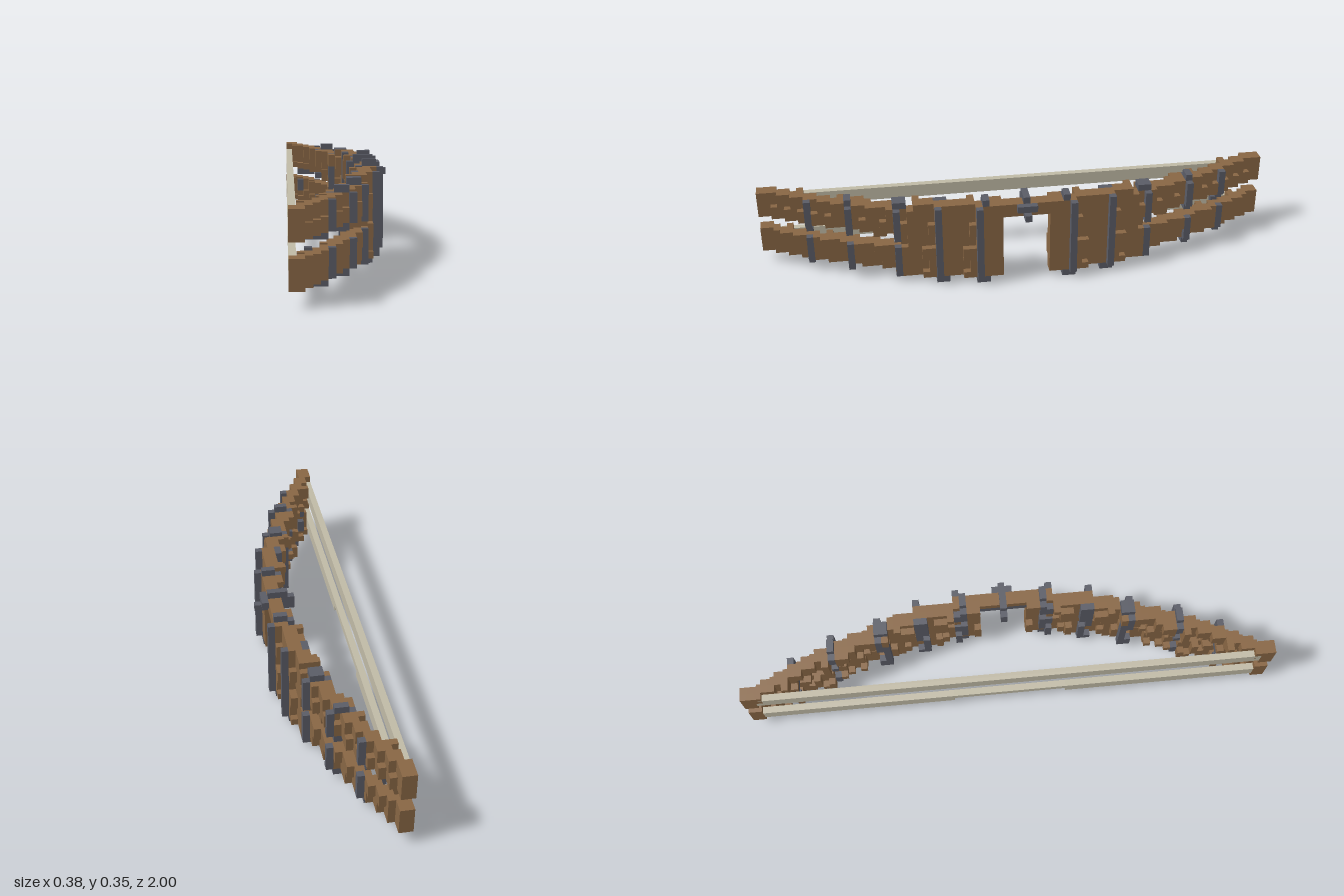
import * as THREE from 'three';

const U = 2 / 79; // block size

const mat = (name, color) => {
  const m = new THREE.MeshStandardMaterial({ color, flatShading: true });
  m.name = name;
  return m;
};

// small repeatable hash, 0..1
const hash = (a, b) => {
  const s = Math.sin(a * 12.9898 + b * 78.233) * 43758.5453;
  return s - Math.floor(s);
};

// outer edge of the bow (in blocks from the string side) at distance k from the middle
const edge = k => Math.max(2, Math.round((0.33 - 0.3 * (k * U) ** 2) / U));

// block map: key "i,j,k" -> part name
function fillBlocks() {
  const blocks = new Map();
  const put = (part, i, j, k) => {
    if (i < 0) return;
    blocks.set(`${i},${j},${k}`, part);
    blocks.set(`${i},${j},${-k}`, part);
  };

  // limbs: split in two near the tips, one tall plate near the grip
  const isLimb = (j, k) => {
    if (k <= 3) return j === 11 || j === 12;
    if (j === 1) return k <= 19;
    if (j === 12) return k <= 16;
    if (j === 6) return k <= 18;
    if (j === 7) return k <= 19 || k === 21 || k === 22;
    return j >= 2 && j <= 11;
  };
  for (let k = 0; k <= 39; k++) {
    for (let j = 1; j <= 12; j++) {
      if (!isLimb(j, k)) continue;
      const shift = k < 38 ? Math.floor(hash(j >> 1, 3) * 3) - 1 : 0;
      const n = edge(Math.abs(k + shift));
      for (let i = n - 2; i < n; i++) put('limbs', i, j, k);
      // rough ridges on the inner face
      if (k > 3 && k < 36 && hash(k, Math.floor(j / 3)) < 0.3) put('limbs', n - 3, j, k);
    }
  }

  // metal bands wrapped around the limbs
  const bands = [
    { ks: [32], rows: [1, 11] },
    { ks: [26], rows: [1, 12] },
    { ks: [18, 19], rows: [1, 12] },
    { ks: [12, 13], rows: [0, 12] },
    { ks: [6, 7], rows: [0, 13] },
  ];
  for (const { ks, rows } of bands) {
    const n = edge(ks[ks.length - 1]);
    ks.forEach((k, c) => {
      for (let j = rows[0]; j <= rows[1]; j++) {
        if (j === 13 && c > 0) continue;
        const cap = !isLimb(j, k);
        if (cap && j === 6) continue;
        if (cap) {
          for (let i = n - 2; i < n; i++) put('bands', i, j, k);
          if (j === 7) put('bands', n - 3, j, k);
        } else {
          if (c === ks.length - 1) put('bands', n, j, k);
          if (hash(j >> 1, k) < 0.6) put('bands', n - 3, j, k);
        }
      }
    });
  }

  // metal arrow rest over the grip opening
  for (let i = 10; i <= 12; i++) put('bands', i, 13, 0);
  for (let i = 9; i <= 13; i++) put('bands', i, 12, 0);
  for (let i = 9; i <= 14; i++) put('bands', i, 11, 0);
  put('bands', 13, 12, 1);
  for (let k = 1; k <= 3; k++) put('bands', 11, 11, k);
  return blocks;
}

// visible faces of all blocks belonging to one part
function blockGeometry(blocks, part) {
  const pos = [];
  const v = new THREE.Vector3();
  for (const [key, p] of blocks) {
    if (p !== part) continue;
    const c = key.split(',').map(Number);
    for (let axis = 0; axis < 3; axis++) {
      for (const s of [-1, 1]) {
        const nb = [...c];
        nb[axis] += s;
        if (blocks.has(nb.join(','))) continue;
        const a = (axis + 1) % 3, b = (axis + 2) % 3;
        const ring = [[-1, -1], [1, -1], [1, 1], [-1, 1]];
        if (s < 0) ring.reverse();
        for (const q of [0, 1, 2, 0, 2, 3]) {
          const o = [0, 0, 0];
          o[axis] = s / 2;
          o[a] = ring[q][0] / 2;
          o[b] = ring[q][1] / 2;
          v.set(c[0] - 7 + o[0], c[1] + 0.5 + o[1], c[2] + o[2]).multiplyScalar(U);
          pos.push(v.x, v.y, v.z);
        }
      }
    }
  }
  const g = new THREE.BufferGeometry();
  g.setAttribute('position', new THREE.Float32BufferAttribute(pos, 3));
  g.computeVertexNormals();
  return g;
}

export function createModel() {
  const model = new THREE.Group();
  model.name = 'crossbowBow';
  const wood = mat('wood', 0x886644);
  const metal = mat('metal', 0x5a5c66);
  const cord = mat('cord', 0xc0baa6);

  const blocks = fillBlocks();
  for (const [part, m] of [['limbs', wood], ['bands', metal]]) {
    const mesh = new THREE.Mesh(blockGeometry(blocks, part), m);
    mesh.name = part;
    model.add(mesh);
  }

  // strings: rows from j0 to j1, length along z in blocks
  const string = (name, j0, j1, k0, k1) => {
    const mesh = new THREE.Mesh(new THREE.BoxGeometry(U, (j1 - j0) * U, (k1 - k0) * U), cord);
    mesh.position.set(-7 * U, ((j0 + j1) / 2) * U, ((k0 + k1) / 2) * U);
    mesh.name = name;
    model.add(mesh);
  };
  string('upperString', 9, 11, -37.5, 37.5);
  string('lowerStringMiddle', 4, 5, -8.5, 8.5);
  string('lowerStringFront', 3, 5, 8.5, 37.5);
  string('lowerStringBack', 3, 5, -37.5, -8.5);
  return model;
}
